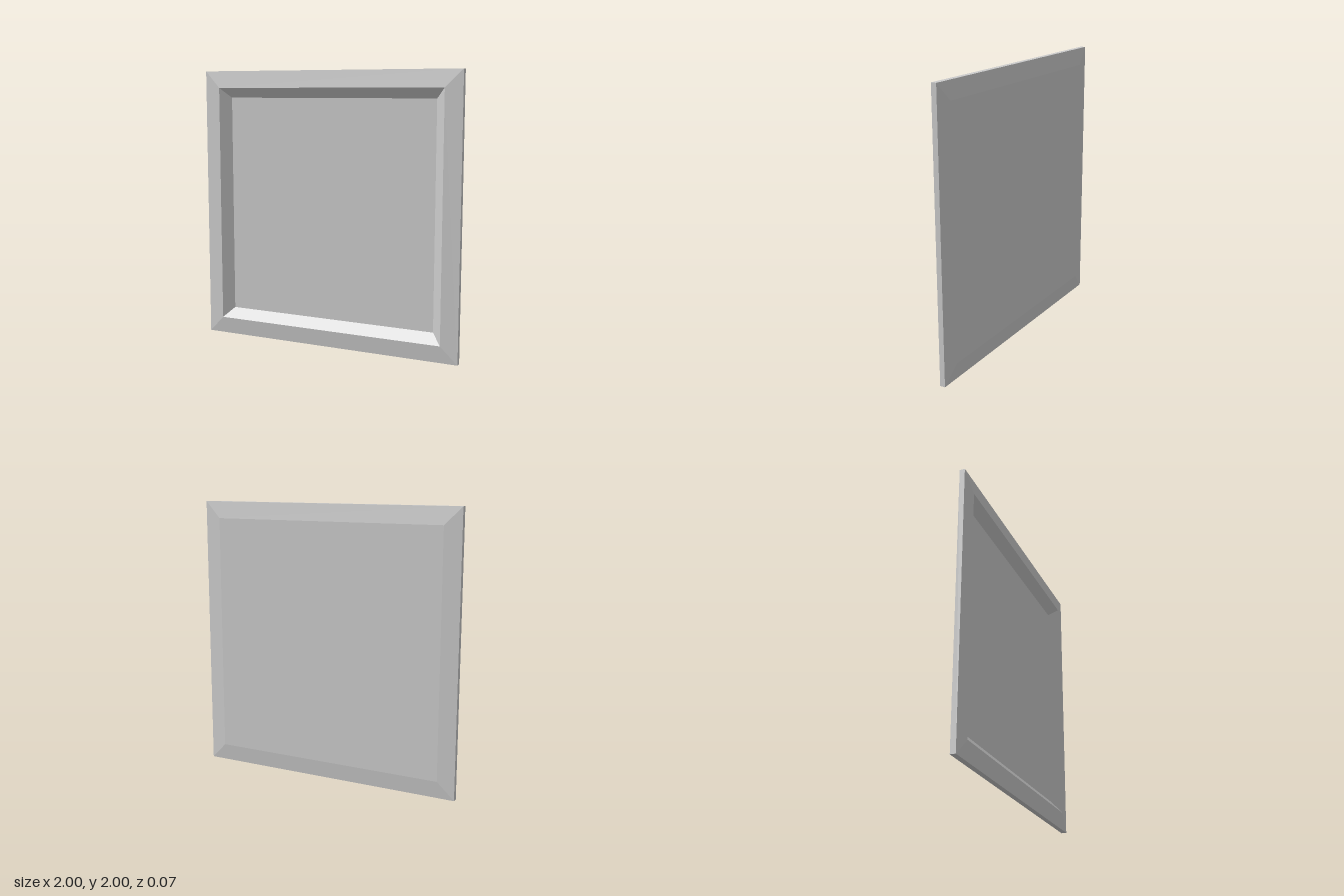
import * as THREE from 'three';

const material = new THREE.MeshStandardMaterial({ color: 0xcccccc, flatShading: true });

// Square rings [half size, z], listed from the back outwards and round to the recess
function squareLoft(rings, capBack, capFront) {
  const positions = [];
  const index = [];
  for (const [h, z] of rings) positions.push(-h, -h, z, h, -h, z, h, h, z, -h, h, z);
  for (let r = 0; r < rings.length - 1; r++) {
    for (let i = 0; i < 4; i++) {
      const a = r * 4 + i, b = r * 4 + (i + 1) % 4;
      index.push(a, b, b + 4, a, b + 4, a + 4);
    }
  }
  if (capBack) index.push(0, 2, 1, 0, 3, 2);
  if (capFront) {
    const n = (rings.length - 1) * 4;
    index.push(n, n + 1, n + 2, n, n + 2, n + 3);
  }
  const indexed = new THREE.BufferGeometry();
  indexed.setAttribute('position', new THREE.Float32BufferAttribute(positions, 3));
  indexed.setIndex(index);
  const geometry = indexed.toNonIndexed();
  geometry.computeVertexNormals();
  return geometry;
}

export function createModel() {
  const group = new THREE.Group();
  group.name = 'framedPanel';
  const add = (name, rings, capBack, capFront) => {
    const mesh = new THREE.Mesh(squareLoft(rings, capBack, capFront), material);
    mesh.name = name;
    mesh.position.y = 1;
    group.add(mesh);
  };

  const ridge = 0.877, inner = 0.805, edgeZ = 0.019, faceZ = 0.034, panelZ = -0.029;

  // Flat back with bevelled border
  add('backPlate', [[ridge, -faceZ], [1, -edgeZ]], true, false);
  // Thin outer rim and the front bevel rising to the ridge
  add('frame', [[1, -edgeZ], [1, edgeZ], [ridge, faceZ]], false, false);
  // Sloped inner walls down to the recessed panel
  add('recessedPanel', [[ridge, faceZ], [inner, panelZ]], false, true);

  return group;
}
